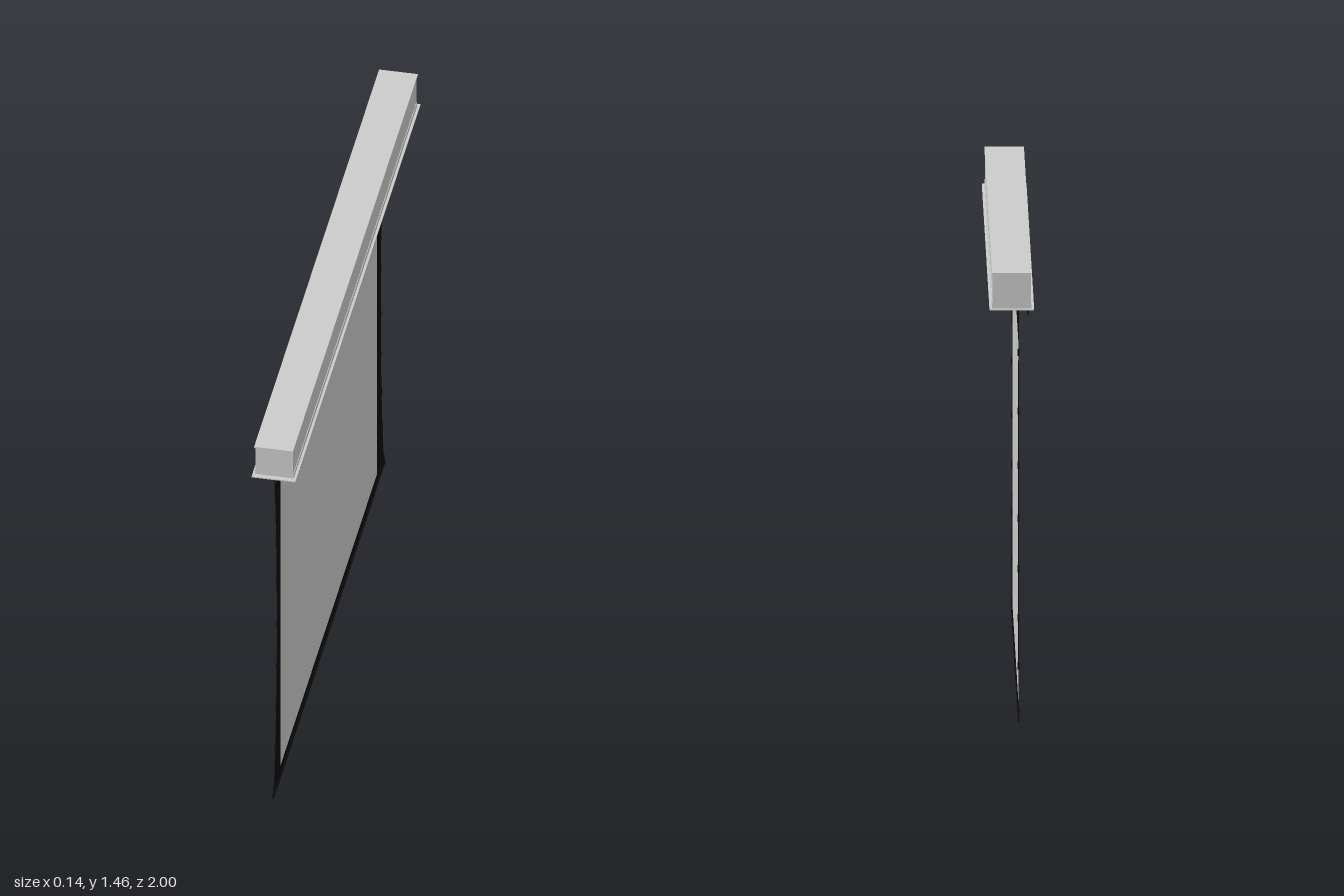
import * as THREE from 'three';

const grey = new THREE.MeshStandardMaterial({ color: 0xcccccc, side: THREE.DoubleSide });
const black = new THREE.MeshStandardMaterial({ color: 0x0c0c0c, side: THREE.DoubleSide });

const SCREEN_X = -0.023;

export function createModel() {
  const model = new THREE.Group();

  const add = (name, geometry, material, parent = model) => {
    const mesh = new THREE.Mesh(geometry, material);
    mesh.name = name;
    parent.add(mesh);
    return mesh;
  };
  // Box given by its limits on each axis
  const box = (name, x0, x1, y0, y1, z0, z1, material = grey, parent = model) => {
    const mesh = add(name, new THREE.BoxGeometry(x1 - x0, y1 - y0, z1 - z0), material, parent);
    mesh.position.set((x0 + x1) / 2, (y0 + y1) / 2, (z0 + z1) / 2);
    return mesh;
  };

  // Hollow housing: top, long sides with a trim strip, and ends
  const housing = new THREE.Group();
  housing.name = 'housing';
  model.add(housing);
  box('topPlate', -0.062, 0.062, 1.45, 1.455, -1, 1, grey, housing);
  for (const s of [-1, 1]) {
    const side = box('sideWall', -0.002, 0.002, 1.337, 1.45, -0.985, 0.985, grey, housing);
    side.position.x = s * 0.058;
    const trim = box('sideTrim', -0.001, 0.001, 1.337, 1.355, -0.985, 0.985, grey, housing);
    trim.position.x = s * 0.061;
    const end = box('endWall', -0.06, 0.06, 1.337, 1.45, -0.002, 0.002, grey, housing);
    end.position.z = s * 0.983;
  }

  // Bottom flange and panel, leaving a slot for the fabric
  box('bottomPanel', -0.012, 0.07, 1.334, 1.338, -1, 1, grey, housing);
  box('bottomLip', -0.07, -0.05, 1.334, 1.338, -1, 1, grey, housing);
  for (const s of [-1, 1]) {
    const lip = box('endLip', -0.05, -0.012, 1.334, 1.338, -0.01, 0.01, grey, housing);
    lip.position.z = s * 0.99;
  }

  // Roller on which the fabric winds
  const roller = add('roller', new THREE.CylinderGeometry(0.03, 0.03, 1.94, 24), grey);
  roller.rotation.x = Math.PI / 2;
  roller.position.set(0.007, 1.395, 0);

  // Slot flap, hanging open
  const flap = box('slotFlap', -0.001, 0.001, -0.046, 0, -0.98, 0.98, black);
  flap.position.set(-0.05, 1.313, 0);
  flap.geometry.translate(0, 0.023, 0);
  flap.rotation.z = 0.18;

  // Half width of the fabric, narrowest in the middle: [z, y]
  const edge = new THREE.SplineCurve([
    [0.888, 0.006], [0.866, 0.05], [0.846, 0.2], [0.828, 0.42], [0.822, 0.65],
    [0.828, 0.9], [0.843, 1.12], [0.858, 1.29], [0.862, 1.39],
  ].map(([z, y]) => new THREE.Vector2(z, y)));
  const edgePoints = edge.getPoints(48);

  // Black border with a window for the viewing area
  const outline = [
    ...edgePoints,
    ...edgePoints.map((p) => new THREE.Vector2(-p.x, p.y)).reverse(),
  ];
  const border = new THREE.Shape(outline);
  border.holes.push(new THREE.Path([
    new THREE.Vector2(-0.772, 0.042), new THREE.Vector2(-0.772, 1.192),
    new THREE.Vector2(0.772, 1.192), new THREE.Vector2(0.772, 0.042),
  ]));
  const fabric = add('fabricBorder', new THREE.ShapeGeometry(border), black);
  fabric.rotation.y = Math.PI / 2;
  fabric.position.x = SCREEN_X;

  const view = add('viewingArea', new THREE.PlaneGeometry(1.544, 1.15), grey);
  view.rotation.y = Math.PI / 2;
  view.position.set(SCREEN_X, 0.617, 0);

  // Weight bar along the bottom edge
  box('weightBar', SCREEN_X - 0.003, SCREEN_X + 0.003, 0, 0.012, -0.89, 0.89, black);

  // Tension cords and the tabs that hold them to the fabric
  const tabHeights = [0.03, 0.17, 0.32, 0.475, 0.635, 0.805, 0.98, 1.17];
  for (const s of [-1, 1]) {
    const cordPath = new THREE.CatmullRomCurve3([
      [0.888, 0.008], [0.872, 0.05], [0.849, 0.2], [0.831, 0.42], [0.825, 0.65],
      [0.832, 0.9], [0.85, 1.12], [0.874, 1.29], [0.88, 1.34],
    ].map(([z, y]) => new THREE.Vector3(SCREEN_X, y, s * z)));
    add('tensionCord', new THREE.TubeGeometry(cordPath, 48, 0.0012, 6), black);
    for (const y of tabHeights) {
      const near = edgePoints.reduce((a, b) => (Math.abs(b.y - y) < Math.abs(a.y - y) ? b : a));
      const tab = box('cordTab', -0.003, 0.003, -0.011, 0.011, -0.004, 0.004, black);
      tab.position.set(SCREEN_X, y, s * (near.x + 0.001));
    }
  }

  return model;
}
